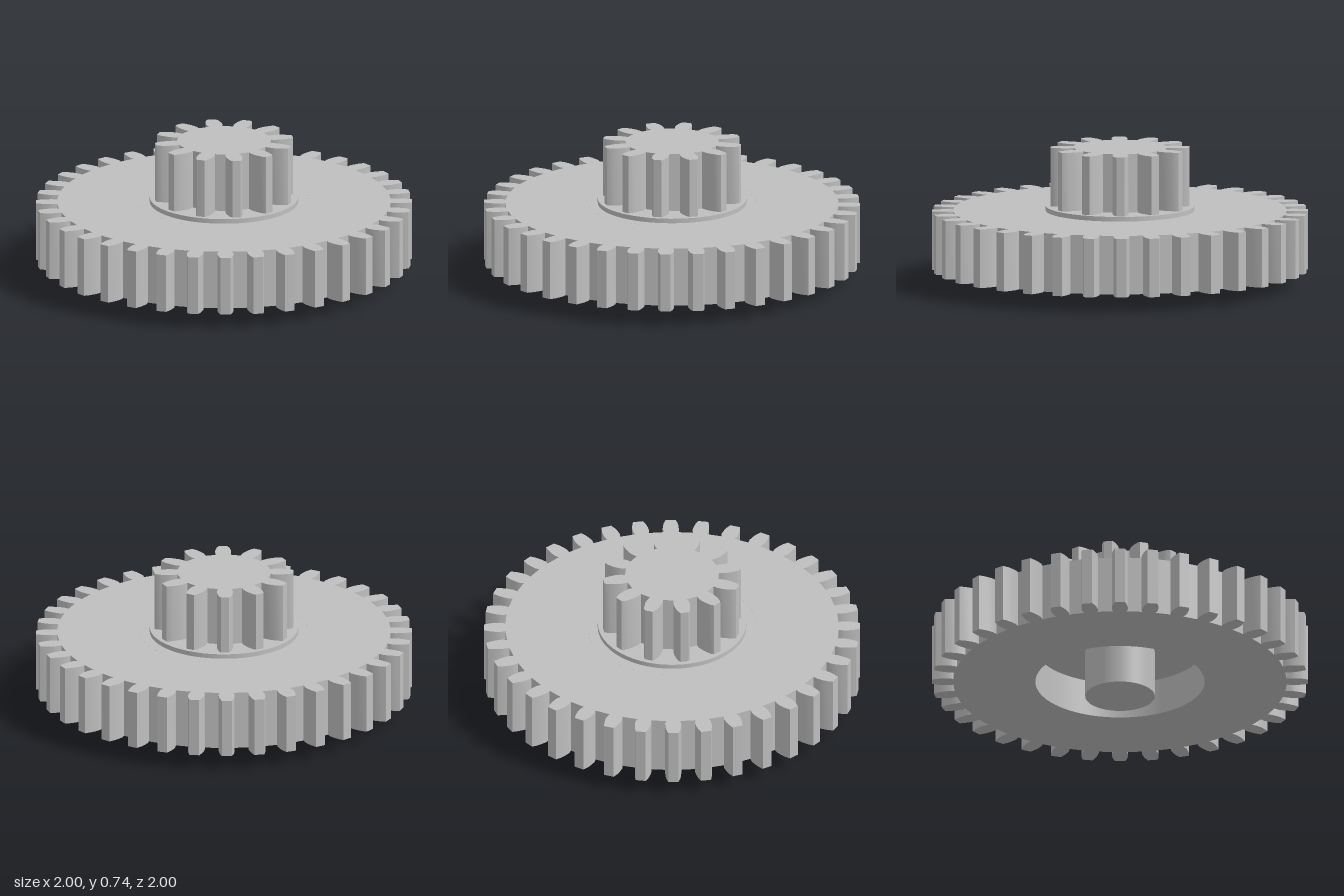
import * as THREE from 'three';
import { toCreasedNormals } from 'three/addons/utils/BufferGeometryUtils.js';

const SEGMENTS = 72;

// Closed gear outline; flank lists [radius, half width] from root to tip
function gearShape(teeth, flank) {
  const points = [];
  for (let i = 0; i < teeth; i++) {
    const a = (i / teeth) * Math.PI * 2;
    const c = Math.cos(a), s = Math.sin(a);
    const add = (r, w) => points.push(new THREE.Vector2(r * c - w * s, r * s + w * c));
    flank.forEach(([r, w]) => add(r, -w));
    [...flank].reverse().forEach(([r, w]) => add(r, w));
  }
  return new THREE.Shape(points);
}

export function createModel() {
  const group = new THREE.Group();
  const grey = new THREE.MeshStandardMaterial({ color: 0xbfbfbf });
  grey.name = 'plain grey';

  function add(name, geometry) {
    const mesh = new THREE.Mesh(geometry, grey);
    mesh.name = name;
    group.add(mesh);
  }

  // Upright prism of a shape between two heights
  function prism(name, shape, y0, y1) {
    const g = new THREE.ExtrudeGeometry(shape, { depth: y1 - y0, bevelEnabled: false, curveSegments: SEGMENTS });
    g.rotateX(-Math.PI / 2);
    g.translate(0, y0, 0);
    add(name, toCreasedNormals(g, 0.4));
  }

  function disc(name, radius, y0, y1) {
    const g = new THREE.CylinderGeometry(radius, radius, y1 - y0, SEGMENTS);
    g.translate(0, (y0 + y1) / 2, 0);
    add(name, g);
  }

  // Large toothed rim with the round recess cut through it
  const rim = gearShape(36, [[0.886, 0.036], [0.91, 0.043], [0.94, 0.042], [0.97, 0.037], [1.0, 0.027]]);
  rim.holes.push(new THREE.Path().absarc(0, 0, 0.45, 0, Math.PI * 2, true));
  prism('largeGear', rim, 0.085, 0.4);

  // Web closing the top of the recess, with its collar and the shaft below
  disc('web', 0.45, 0.285, 0.4);
  disc('collar', 0.212, 0.26, 0.29);
  disc('shaft', 0.185, 0, 0.3);

  // Flange and small gear on top
  disc('flange', 0.395, 0.395, 0.425);
  const pinion = gearShape(12, [[0.247, 0.036], [0.27, 0.042], [0.3, 0.043], [0.335, 0.037], [0.355, 0.031], [0.37, 0.022]]);
  prism('smallGear', pinion, 0.42, 0.74);

  return group;
}
